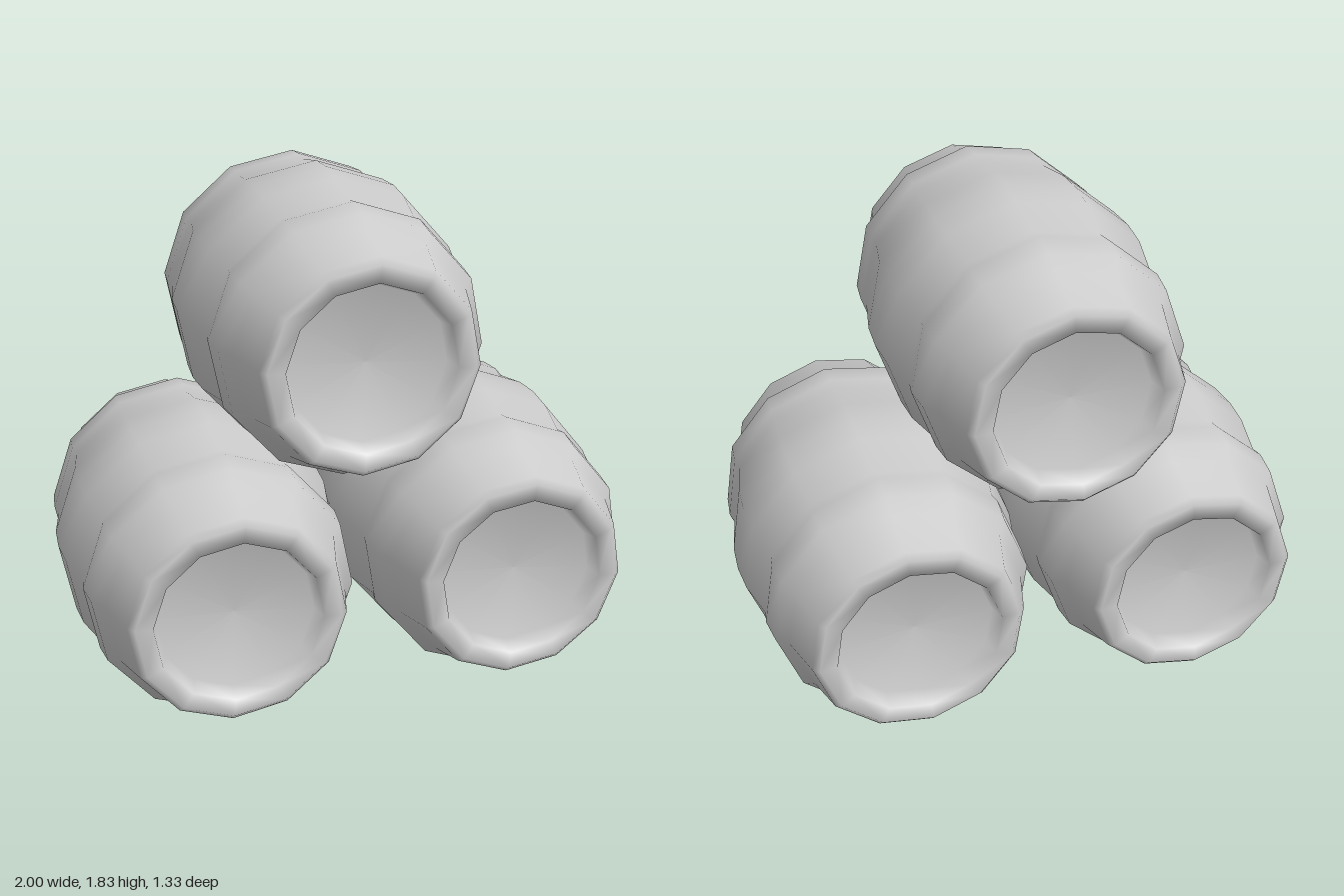
import * as THREE from 'three';

// Half profile of a barrel: [radius, distance from the middle]
const HALF = [
  [0.5, 0], [0.492, 0.12], [0.458, 0.28], [0.466, 0.33],
  [0.455, 0.43], [0.415, 0.475], [0.372, 0.635], [0.35, 0.657], // hoop step and tapered end
  [0.29, 0.655], [0.27, 0.59], [0, 0.57],                       // rim and recessed head
];

function makeBarrel(name, x, y, z, turn) {
  const back = HALF.slice(1).reverse().map(([r, d]) => new THREE.Vector2(r, -d));
  const front = HALF.map(([r, d]) => new THREE.Vector2(r, d));
  const geometry = new THREE.LatheGeometry([...back, ...front], 12);
  geometry.rotateX(Math.PI / 2); // lay the barrel along z
  const barrel = new THREE.Mesh(geometry, new THREE.MeshStandardMaterial({ color: 0xcccccc }));
  barrel.name = name;
  barrel.position.set(x, y, z);
  barrel.rotation.z = THREE.MathUtils.degToRad(turn);
  return barrel;
}

export function createModel() {
  const group = new THREE.Group();
  group.name = 'barrelStack';
  group.add(
    makeBarrel('rightBarrel', -0.502, 0.5, 0.005, -4),
    makeBarrel('leftBarrel', 0.497, 0.512, -0.003, -6),
    makeBarrel('topBarrel', -0.045, 1.33, -0.013, -4),
  );
  return group;
}
